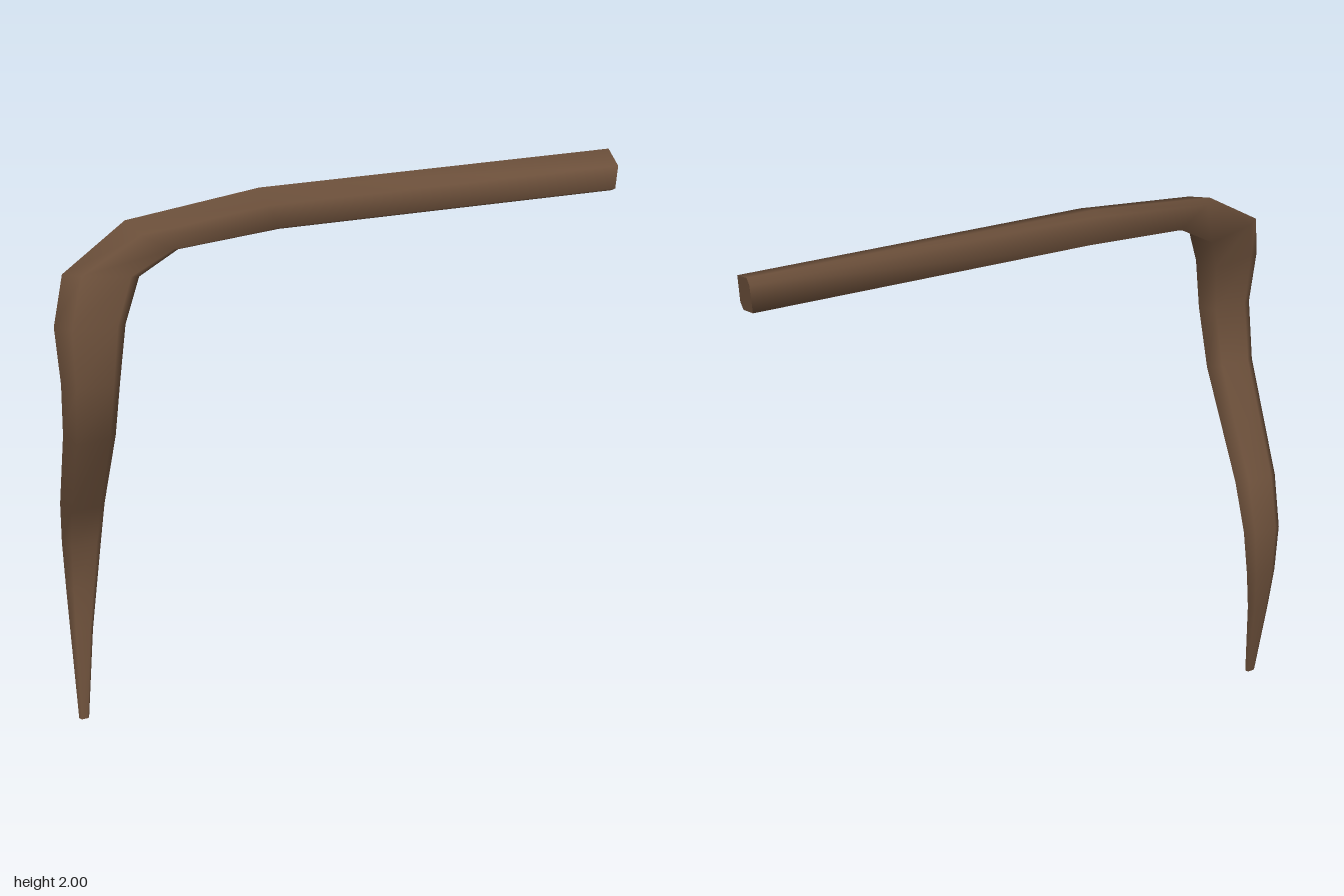
import * as THREE from 'three';

// Outer edge x, y; inner edge x, y; depth centre z; half depth z; half depth tilt in y
const STATIONS = [
  [0.965, 2.0, 0.965, 1.87, 0.006, 0.064, 0],
  [-0.25, 2.0, -0.2, 1.87, 0.006, 0.064, 0],
  [-0.7, 1.95, -0.54, 1.85, 0.03, 0.06, 0],
  [-0.92, 1.82, -0.68, 1.785, 0.08, 0.055, 0.02],
  [-0.965, 1.66, -0.74, 1.65, 0.13, 0.046, 0.01],
  [-0.957, 1.46, -0.77, 1.46, 0.149, 0.041, 0],
  [-0.955, 1.245, -0.785, 1.245, 0.103, 0.034, -0.012],
  [-0.95, 0.87, -0.8, 0.87, -0.103, 0.029, -0.012],
  [-0.945, 0.685, -0.81, 0.685, -0.16, 0.025, -0.003],
  [-0.942, 0.5, -0.835, 0.5, -0.155, 0.021, 0],
  [-0.941, 0.335, -0.862, 0.335, -0.13, 0.016, 0.003],
  [-0.94, 0, -0.905, 0, -0.068, 0.008, 0],
];

// Skewed hexagonal section: [across depth, towards outer edge]
const SECTION = [[0.8, -0.75], [0.4, -1], [-1, -0.6], [-0.72, 0.72], [-0.4, 1], [1, 0.58]];

function ringAt([ox, oy, ix, iy, z, dz, dy]) {
  return SECTION.map(([v, u]) => [
    (ox + ix) / 2 + (u * (ox - ix)) / 2,
    (oy + iy) / 2 + (u * (oy - iy)) / 2 + v * dy,
    z + v * dz,
  ]);
}

function makeGeometry(points, index) {
  const g = new THREE.BufferGeometry();
  g.setAttribute('position', new THREE.Float32BufferAttribute(points.flat(), 3));
  g.setIndex(index);
  g.computeVertexNormals();
  return g;
}

export function createModel() {
  const group = new THREE.Group();
  group.name = 'bentHandle';
  const brown = new THREE.MeshStandardMaterial({ color: 0x6b4f3a });
  brown.name = 'brown';

  const rings = STATIONS.map(ringAt);
  const n = SECTION.length;
  const add = (name, geometry) => {
    const mesh = new THREE.Mesh(geometry, brown);
    mesh.name = name;
    group.add(mesh);
  };

  // Smooth swept skin: straight bar, bend and wavy tapering leg
  const index = [];
  for (let s = 0; s < rings.length - 1; s++) {
    for (let k = 0; k < n; k++) {
      const a = s * n + k;
      const b = s * n + ((k + 1) % n);
      index.push(a, a + n, b, b, a + n, b + n);
    }
  }
  add('curvedShaft', makeGeometry(rings.flat(), index));

  // Flat end faces
  const fan = [];
  for (let k = 1; k < n - 1; k++) fan.push(0, k, k + 1);
  add('barEnd', makeGeometry(rings[0], fan));
  add('tipEnd', makeGeometry(rings[rings.length - 1], [...fan].reverse()));

  return group;
}
